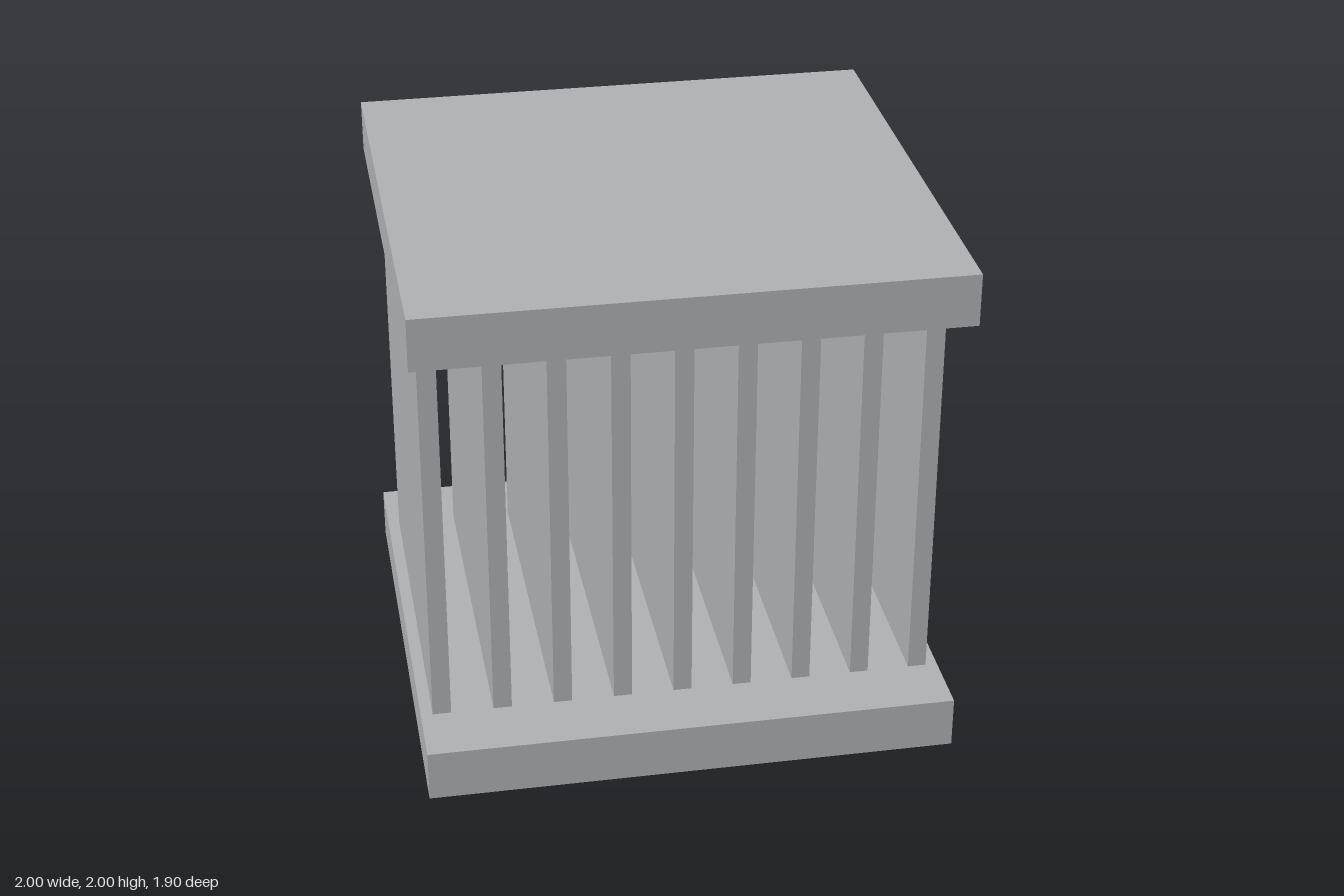
import * as THREE from 'three';

export function createModel() {
  const group = new THREE.Group();
  const grey = new THREE.MeshStandardMaterial({ name: 'light grey', color: 0xb0b4b8 });

  const addBox = (name, size, position) => {
    const mesh = new THREE.Mesh(new THREE.BoxGeometry(...size), grey);
    mesh.name = name;
    mesh.position.set(...position);
    group.add(mesh);
  };

  // Base and top slabs
  const slab = [2, 0.2, 1.9];
  addBox('basePlate', slab, [0, 0.1, 0]);
  addBox('topPlate', slab, [0, 1.9, 0]);

  // Row of upright fins between the slabs
  const finCount = 9;
  const spacing = 0.23;
  for (let i = 0; i < finCount; i++) {
    const x = (i - (finCount - 1) / 2) * spacing;
    addBox(`fin${i + 1}`, [0.07, 1.6, 1.4], [x, 1, 0]);
  }

  return group;
}
